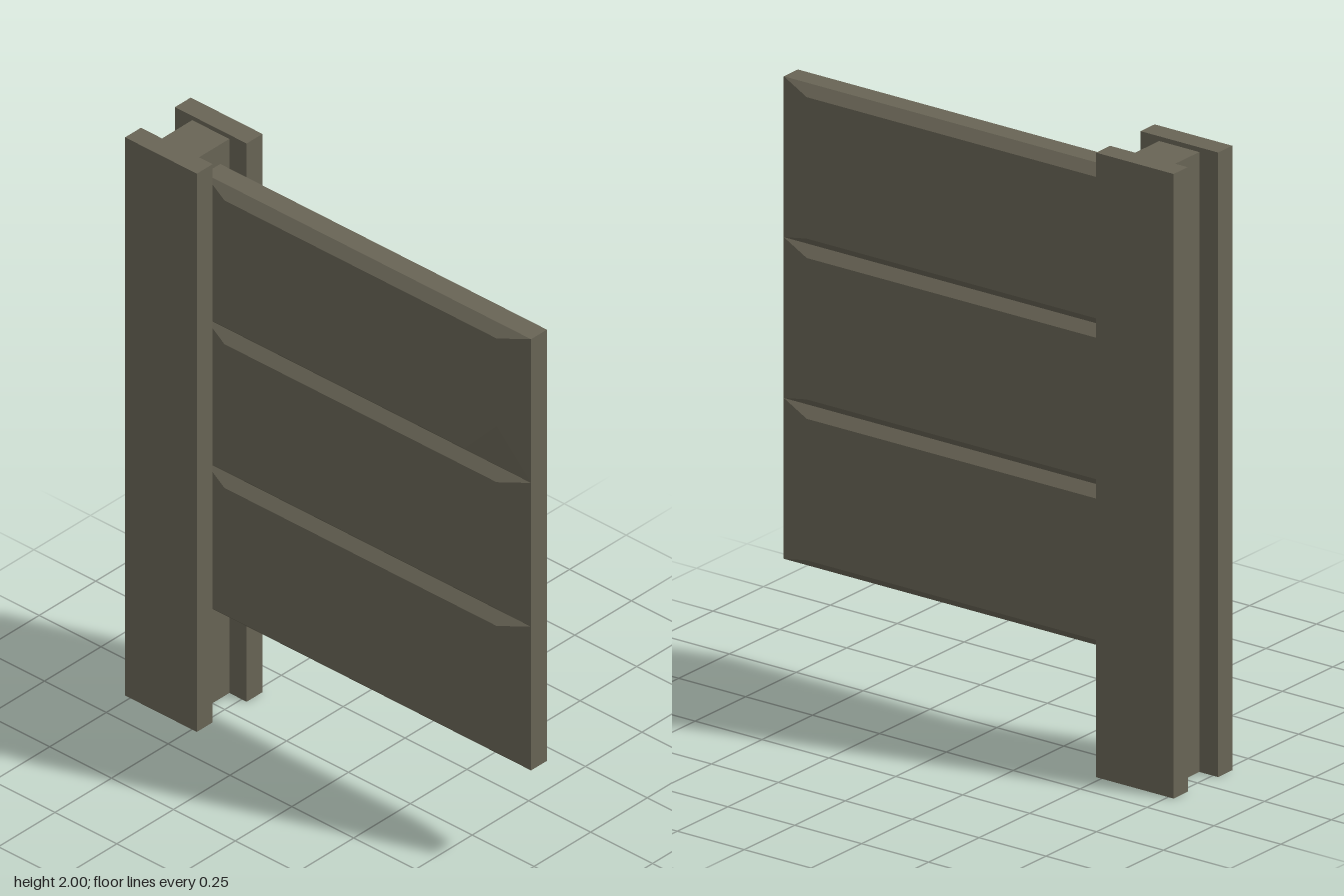
import * as THREE from 'three';
import { ConvexGeometry } from 'three/addons/geometries/ConvexGeometry.js';

const LEFT = -0.55, RIGHT = 0.77;   // slab ends in x
const RIM = 0.035, FACE = 0.067;    // half thickness at the rim and at the raised face
const BASE = 0.37, PITCH = 0.515;   // bottom of the lowest slab, slab height

export function createModel() {
  const group = new THREE.Group();
  const concrete = new THREE.MeshStandardMaterial({ color: 0x686455 });
  concrete.name = 'concrete';

  const add = (name, geometry, x = 0, y = 0, z = 0) => {
    const mesh = new THREE.Mesh(geometry, concrete);
    mesh.name = name;
    mesh.position.set(x, y, z);
    group.add(mesh);
  };

  // H-section post: two flanges joined by a slightly shorter web
  add('postFrontFlange', new THREE.BoxGeometry(0.29, 2, 0.07), -0.625, 1, 0.11);
  add('postBackFlange', new THREE.BoxGeometry(0.29, 2, 0.07), -0.625, 1, -0.11);
  add('postWeb', new THREE.BoxGeometry(0.15, 1.985, 0.152), -0.625, 0.9925, 0);

  // Slab with bevelled edges on both faces; a chipped one loses a front corner
  const slabGeometry = (chipped) => {
    const points = [];
    for (const side of [-1, 1]) {
      for (const x of [LEFT, RIGHT]) {
        for (const y of [0, PITCH]) {
          points.push(new THREE.Vector3(x, y, side * RIM));
          const ix = x === LEFT ? x + 0.11 : x - 0.11;
          const iy = y === 0 ? 0.031 : y - 0.031;
          if (chipped && side === 1 && x === RIGHT && y === 0) {
            points.push(new THREE.Vector3(0.53, iy, FACE), new THREE.Vector3(ix, 0.17, FACE));
          } else {
            points.push(new THREE.Vector3(ix, iy, side * FACE));
          }
        }
      }
    }
    return new ConvexGeometry(points);
  };

  // Three stacked slabs, the top one chipped
  ['lowerSlab', 'middleSlab', 'upperSlab'].forEach((name, i) =>
    add(name, slabGeometry(i === 2), 0, BASE + i * PITCH, 0));

  return group;
}
